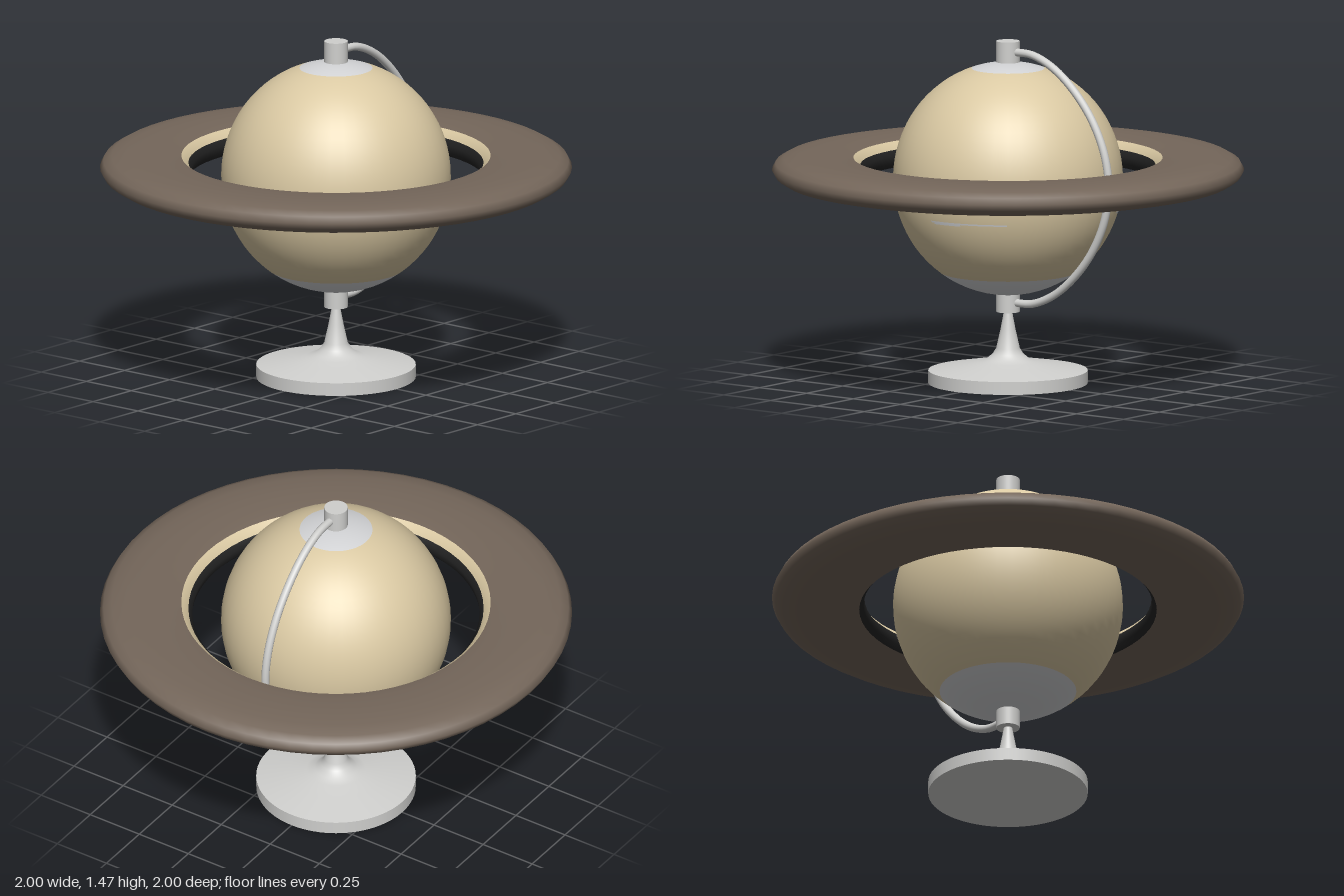
import * as THREE from 'three';

const mat = (name, color) => {
  const m = new THREE.MeshStandardMaterial({ color });
  m.name = name;
  return m;
};

export function createModel() {
  const model = new THREE.Group();
  model.name = 'ringedPlanetGlobe';
  const tan = mat('tan', 0xdac9a3);
  const brown = mat('brown', 0x74665a);
  const black = mat('black', 0x222222);
  const grey = mat('lightGrey', 0xcfcfcd);
  const ice = mat('paleGrey', 0xd2d3d5);

  const add = (name, geometry, material, y = 0, parent = model) => {
    const mesh = new THREE.Mesh(geometry, material);
    mesh.name = name;
    mesh.position.y = y;
    parent.add(mesh);
    return mesh;
  };
  const lathe = (pts, seg = 64) =>
    new THREE.LatheGeometry(pts.map(([r, y]) => new THREE.Vector2(r, y)), seg);
  const rad = THREE.MathUtils.degToRad;

  // Globe: tan body between two pale polar caps
  const globe = new THREE.Group();
  globe.name = 'globe';
  globe.position.y = 0.877;
  globe.scale.y = 1.02;
  model.add(globe);
  const band = (name, material, from, to, rows, r = 0.487, phi = 0, phiLen = 360) =>
    add(name, new THREE.SphereGeometry(r, 48, rows, rad(phi), rad(phiLen), rad(from), rad(to - from)),
      material, 0, globe);
  band('northCap', ice, 0, 18.5, 6);
  band('globeBody', tan, 18.5, 143.5, 28);
  band('southCap', ice, 143.5, 180, 8);

  // Thin cloud streaks on the southern half
  band('frontStreak', ice, 105, 105.8, 1, 0.489, 84, 43);
  band('frontStreakCore', ice, 105, 106.6, 1, 0.489, 86, 16);
  band('backStreak', ice, 105, 105.8, 1, 0.489, 203, 27);

  // Flat planetary ring: brown shell, tan inner bevel, black inner wall
  const ring = new THREE.Group();
  ring.name = 'ring';
  model.add(ring);
  add('ringShell', lathe([
    [0.63, 0.858], [0.7, 0.852], [0.8, 0.85], [0.89, 0.854], [0.95, 0.866], [0.985, 0.888],
    [1.0, 0.915], [0.985, 0.943], [0.95, 0.963], [0.89, 0.974], [0.8, 0.978], [0.7, 0.974], [0.655, 0.966],
  ]), brown, 0, ring);
  add('ringBevel', lathe([[0.655, 0.966], [0.638, 0.953], [0.625, 0.935]]), tan, 0, ring);
  add('ringInnerWall', lathe([[0.625, 0.935], [0.608, 0.913], [0.612, 0.88], [0.63, 0.858]]), black, 0, ring);

  // Pivot caps at both poles
  add('topPivot', new THREE.CylinderGeometry(0.05, 0.05, 0.09, 32), grey, 1.42);
  add('bottomPivot', new THREE.CylinderGeometry(0.05, 0.05, 0.08, 32), grey, 0.345);

  // Half-circle support arm on the left side
  const half = [[0.03, 0.537], [0.13, 0.533], [0.24, 0.488], [0.35, 0.402], [0.45, 0.28], [0.515, 0.14]];
  const path = [
    ...half.map(([x, h]) => [x, 0.883 + h]),
    [0.537, 0.883],
    ...half.map(([x, h]) => [x, 0.883 - h]).reverse(),
  ].map(([x, y]) => new THREE.Vector3(x, y, 0));
  add('supportArm', new THREE.TubeGeometry(new THREE.CatmullRomCurve3(path), 64, 0.017, 12), grey);

  // Stand: flared stem on a round foot
  add('standFoot', new THREE.CylinderGeometry(0.338, 0.338, 0.055, 64), grey, 0.0275);
  add('standStem', lathe([
    [0.338, 0.055], [0.2, 0.08], [0.125, 0.093], [0.09, 0.104], [0.065, 0.125],
    [0.05, 0.15], [0.032, 0.23], [0.017, 0.31],
  ]), grey);

  return model;
}
